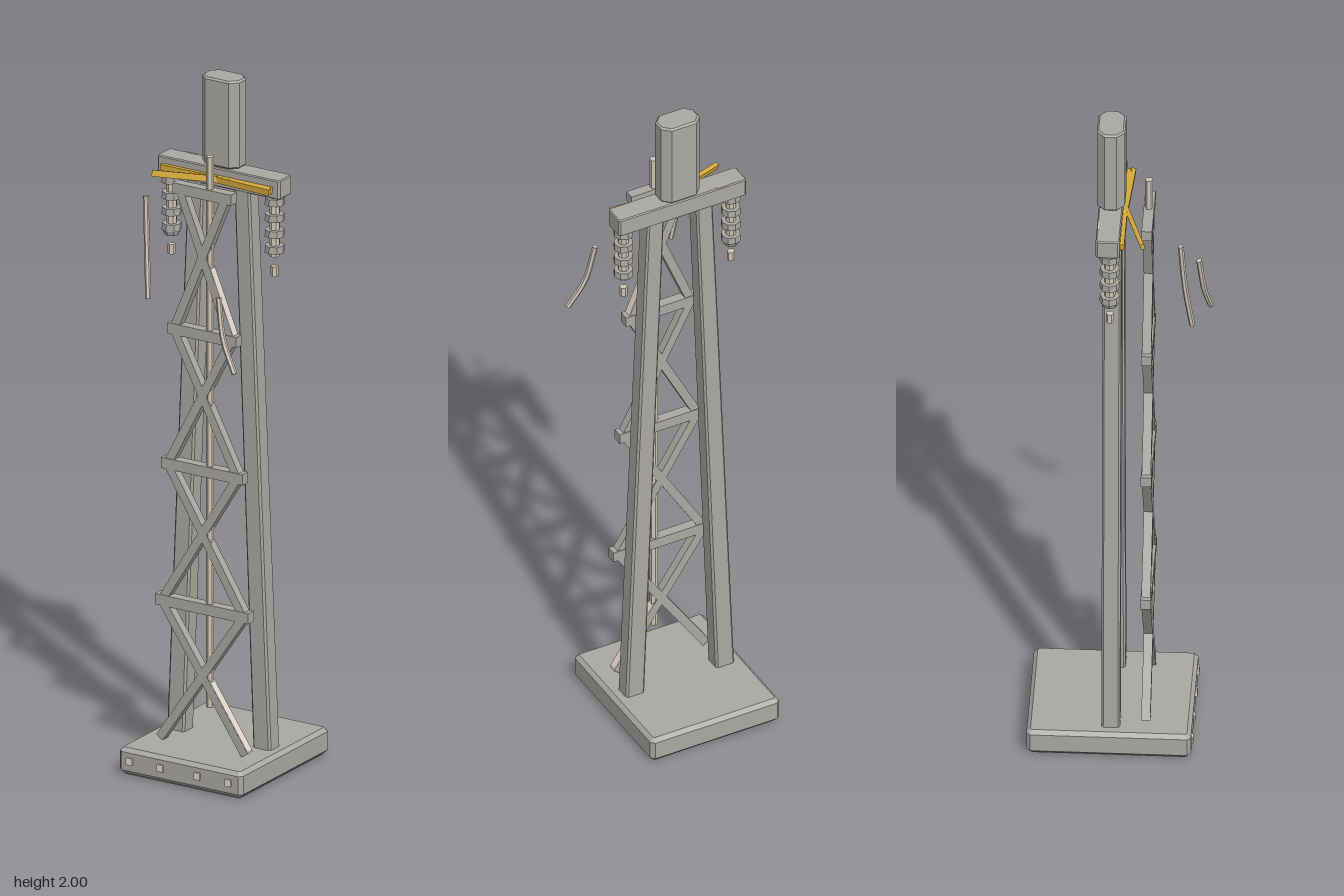
import * as THREE from 'three';

const V = (x, y, z) => new THREE.Vector3(x, y, z);

// Rectangle with cut corners, centred on the origin
function cutRect(w, h, c) {
  const s = new THREE.Shape(), a = w / 2, b = h / 2;
  s.moveTo(-a + c, -b); s.lineTo(a - c, -b); s.lineTo(a, -b + c); s.lineTo(a, b - c);
  s.lineTo(a - c, b); s.lineTo(-a + c, b); s.lineTo(-a, b - c); s.lineTo(-a, -b + c);
  s.closePath();
  return s;
}

// Upright block with cut corners and chamfered top and bottom rims
function block(w, h, d, cut, bevel) {
  const g = new THREE.ExtrudeGeometry(cutRect(w - 2 * bevel, d - 2 * bevel, cut), {
    depth: h - 2 * bevel, bevelEnabled: true, bevelSegments: 1, bevelSize: bevel, bevelThickness: bevel,
  });
  g.rotateX(-Math.PI / 2);
  g.translate(0, -(h / 2 - bevel), 0);
  return g;
}

export function createModel() {
  const group = new THREE.Group();
  const material = (name, color) => {
    const m = new THREE.MeshStandardMaterial({ color, flatShading: true });
    m.name = name;
    return m;
  };
  const steel = material('weathered grey', 0xaaa8a2);
  const pale = material('pale beige', 0xcfc6b6);
  const chalk = material('chalky pink', 0xe2d6cb);
  const yellow = material('ochre yellow', 0xd6aa3a);

  const add = (name, geo, mat, x = 0, y = 0, z = 0, parent = group) => {
    const m = new THREE.Mesh(geo, mat);
    m.name = name;
    m.position.set(x, y, z);
    parent.add(m);
    return m;
  };
  // Straight bar between two points
  const bar = (name, a, b, w, d, mat) => {
    const dir = b.clone().sub(a);
    const m = add(name, new THREE.BoxGeometry(w, dir.length(), d), mat);
    m.position.copy(a).add(b).multiplyScalar(0.5);
    m.quaternion.setFromUnitVectors(V(0, 1, 0), dir.normalize());
    return m;
  };

  const cx = -0.0035;

  // Base slab with a row of bolts
  add('base', block(0.4, 0.075, 0.45, 0.004, 0.011), steel, cx, 0.042, -0.02);
  add('baseFoot', new THREE.BoxGeometry(0.37, 0.01, 0.42), steel, cx, 0.005, -0.02);
  for (const x of [-0.165, -0.065, 0.055, 0.155])
    add('baseBolt', new THREE.BoxGeometry(0.02, 0.02, 0.012), chalk, x, 0.045, 0.204);

  // Two leaning legs, tapering slightly
  for (const s of [-1, 1]) {
    const geo = block(0.054, 1.63, 0.051, 0.005, 0.001);
    const p = geo.attributes.position;
    for (let i = 0; i < p.count; i++) {
      const t = (p.getY(i) + 0.815) / 1.63;
      p.setX(i, p.getX(i) * (1.06 - 0.12 * t) + s * (0.14 - 0.065 * t));
    }
    geo.computeVertexNormals();
    add(s < 0 ? 'rightLeg' : 'leftLeg', geo, steel, cx, 0.885, -0.016);
  }

  // Lattice front frame: cross bars and diagonal braces
  const levels = [0.08, 0.485, 0.885, 1.28, 1.69];
  const halfWidth = [0.16, 0.151, 0.132, 0.112, 0.095];
  const fz = 0.079;
  for (let i = 1; i < levels.length; i++) {
    add('crossBar', new THREE.BoxGeometry(halfWidth[i] * 2, 0.031, 0.029), steel, cx, levels[i], fz);
    for (const s of [-1, 1]) {
      const a = V(cx - s * (halfWidth[i - 1] - 0.022), levels[i - 1] + 0.005, fz);
      const b = V(cx + s * (halfWidth[i] - 0.022), levels[i] - 0.005, fz);
      const brace = bar('brace', a, b, 0.025, 0.025, steel);
      // Bleached outer edge on the lower half of the first and last braces
      if (s < 0 && (i === 1 || i === 4)) {
        const half = a.distanceTo(b) / 2;
        add('bleachedEdge', new THREE.BoxGeometry(0.002, half * 0.9, 0.024), chalk, 0.013, -half * 0.52, 0, brace);
      }
    }
  }

  // Thin vertical rod
  add('rod', new THREE.CylinderGeometry(0.011, 0.011, 1.6, 6), pale, 0.015, 1.0, fz);

  // Cross arm and cabinet on top
  add('crossArm', block(0.397, 0.055, 0.066, 0.004, 0.003), steel, cx, 1.713, -0.0225);
  add('crossArmChip', new THREE.BoxGeometry(0.036, 0.002, 0.004), chalk, -0.127, 1.741, -0.0515);
  add('topCabinet', block(0.12, 0.255, 0.077, 0.019, 0.005), steel, cx, 1.8725, -0.022);

  // Yellow strip with two loose bent ends
  add('yellowStrip', new THREE.BoxGeometry(0.355, 0.018, 0.012), yellow, -0.005, 1.711, 0.016);
  bar('looseStripRight', V(-0.177, 1.711, 0.072), V(0.0, 1.711, 0.018), 0.018, 0.012, yellow);
  bar('looseStripLeft', V(0.0, 1.711, 0.018), V(0.176, 1.711, 0.029), 0.018, 0.012, yellow);

  // Hanging insulator stacks
  for (const x of [-0.172, 0.162]) {
    const stack = new THREE.Group();
    stack.name = 'insulator';
    stack.position.set(x, 0, -0.018);
    group.add(stack);
    add('insulatorCore', new THREE.CylinderGeometry(0.015, 0.015, 0.18, 8), pale, 0, 1.6, 0, stack);
    for (let i = 0; i < 4; i++)
      add('insulatorDisc', new THREE.CylinderGeometry(0.027, 0.028, 0.02, 8), steel, 0, 1.67 - i * 0.046, 0, stack);
    if (x < 0) add('insulatorCap', new THREE.CylinderGeometry(0.026, 0.02, 0.016, 8), steel, 0, 1.516, 0, stack);
    add('insulatorTip', new THREE.CylinderGeometry(0.011, 0.011, 0.028, 6), pale, 0, 1.466, 0, stack);
  }

  // Loose lengths of cable
  const cable = (name, pts) => {
    const curve = new THREE.CatmullRomCurve3(pts);
    add(name, new THREE.TubeGeometry(curve, 8, 0.008, 6), pale);
    for (const t of [0, 1]) {
      const cap = add(name + 'End', new THREE.CircleGeometry(0.008, 6), pale);
      cap.position.copy(curve.getPoint(t));
      cap.quaternion.setFromUnitVectors(V(0, 0, 1), curve.getTangent(t).multiplyScalar(t ? 1 : -1));
    }
  };
  cable('cableRight', [V(-0.133, 1.685, 0.174), V(-0.122, 1.54, 0.185), V(-0.106, 1.4, 0.204)]);
  cable('cableLeft', [V(0.126, 1.45, 0.21), V(0.15, 1.335, 0.223), V(0.196, 1.25, 0.238)]);

  return group;
}
